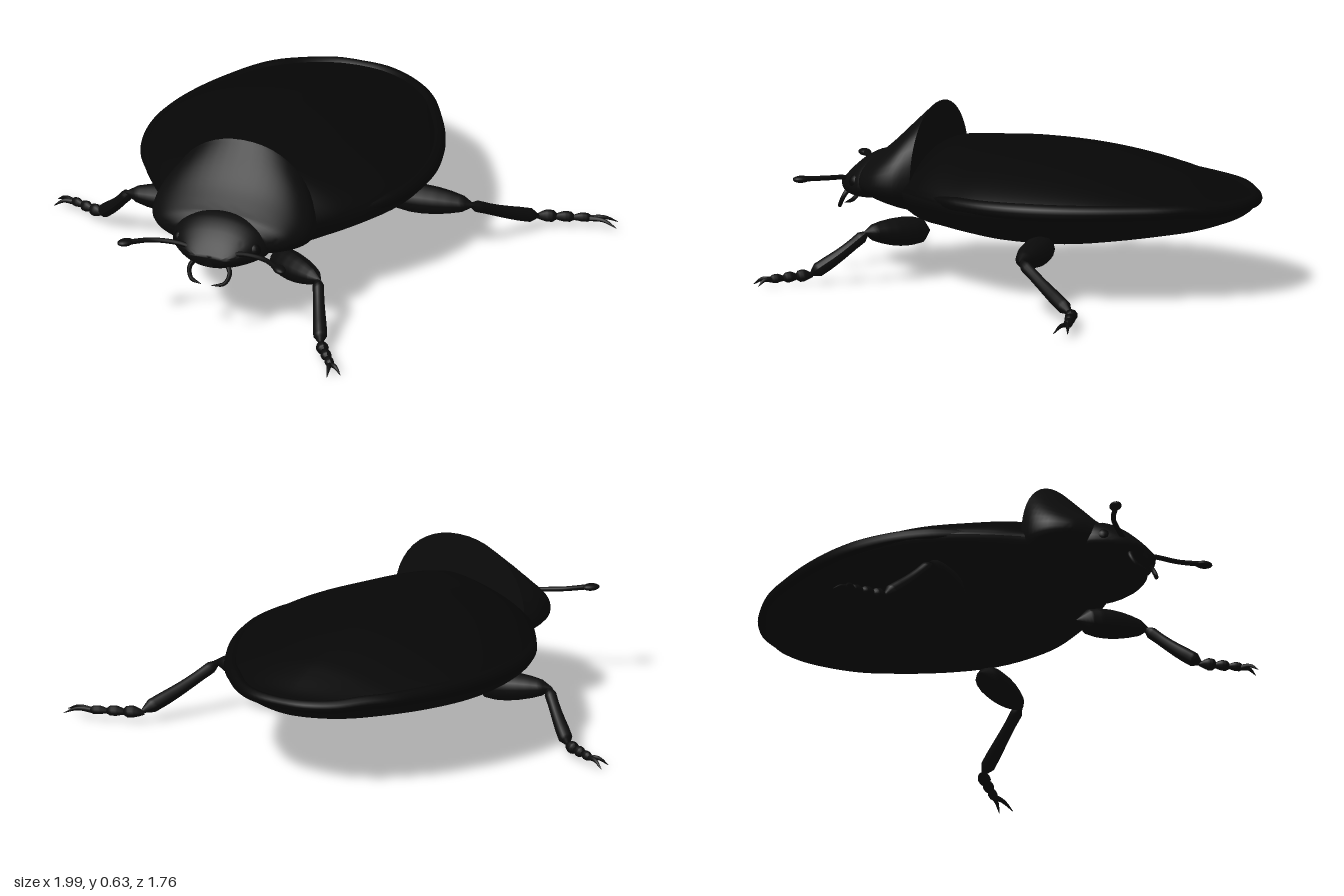
import * as THREE from 'three';
import { toCreasedNormals } from 'three/addons/utils/BufferGeometryUtils.js';

const CX = -0.11; // the body's centre line
const mat = (name, color) => Object.assign(new THREE.MeshStandardMaterial({ color }), { name });

// Skin over cross-sections [z, halfWidth, topY, bottomY], swept from angle t0 to t1
function loft(rings, edgeY, t0, t1, power, n = 48) {
  const pos = [], idx = [];
  rings.forEach(([z, w, top, bot]) => {
    for (let j = 0; j <= n; j++) {
      const t = t0 + (t1 - t0) * j / n, c = Math.cos(t), s = Math.sin(t);
      const h = s > 0 ? top - edgeY : edgeY - bot;
      pos.push(CX + w * Math.sign(c) * Math.abs(c) ** power,
        edgeY + h * Math.sign(s) * Math.abs(s) ** power, z);
    }
  });
  for (let i = 0; i < rings.length - 1; i++) for (let j = 0; j < n; j++) {
    const a = i * (n + 1) + j, c = a + n + 1;
    idx.push(a, a + 1, c, a + 1, c + 1, c);
  }
  const g = new THREE.BufferGeometry();
  g.setAttribute('position', new THREE.Float32BufferAttribute(pos, 3));
  g.setIndex(idx);
  return toCreasedNormals(g, 0.9);
}

// Smoothly resample a short list of sections
function smooth(rings, count) {
  const at = (k, u) => {
    const f = u * (rings.length - 1), i = Math.min(Math.floor(f), rings.length - 2), t = f - i;
    const p = (m) => rings[Math.max(0, Math.min(rings.length - 1, m))][k];
    const a = (p(i + 1) - p(i - 1)) / 2, b = (p(i + 2) - p(i)) / 2, d = p(i) - p(i + 1);
    return p(i) + a * t + (-3 * d - 2 * a - b) * t * t + (2 * d + a + b) * t ** 3;
  };
  return Array.from({ length: count + 1 }, (_, i) => [0, 1, 2, 3].map((k) => at(k, i / count)));
}

const capped = (r, y) => {
  const first = r[0], last = r[r.length - 1];
  return [[first[0], 0, y, y], ...r, [last[0], 0, y, y]];
};

// Tube whose radius follows a list of values along its length
function limb(points, radii, steps = 20, sides = 12) {
  const path = new THREE.CatmullRomCurve3(points.map((p) => new THREE.Vector3(...p)));
  const g = new THREE.TubeGeometry(path, steps, 1, sides, false);
  const p = g.attributes.position, v = new THREE.Vector3();
  for (let i = 0; i <= steps; i++) {
    const u = i / steps, c = path.getPointAt(u), f = u * (radii.length - 1);
    const k = Math.min(Math.floor(f), radii.length - 2);
    const r = THREE.MathUtils.lerp(radii[k], radii[k + 1], f - k);
    for (let j = 0; j <= sides; j++) {
      const m = i * (sides + 1) + j;
      v.fromBufferAttribute(p, m).sub(c).multiplyScalar(r).add(c);
      p.setXYZ(m, v.x, v.y, v.z);
    }
  }
  g.computeVertexNormals();
  return g;
}

export function createModel() {
  const model = new THREE.Group();
  model.name = 'beetle';
  const shell = mat('shell black', 0x060606);
  const body = mat('body black', 0x0b0b0b);
  shell.side = body.side = THREE.DoubleSide;
  const add = (name, geo, material, parent = model) => {
    const m = new THREE.Mesh(geo, material);
    m.name = name;
    parent.add(m);
    return m;
  };

  // Abdomen: wing cases above, belly below
  const abdomen = smooth([
    [-0.87, 0.06, 0.345, 0.325], [-0.85, 0.13, 0.352, 0.305], [-0.8, 0.225, 0.365, 0.278],
    [-0.7, 0.33, 0.408, 0.243], [-0.6, 0.4, 0.444, 0.22], [-0.4, 0.495, 0.495, 0.185],
    [-0.2, 0.543, 0.525, 0.16], [0, 0.53, 0.535, 0.158], [0.15, 0.465, 0.53, 0.17],
    [0.28, 0.378, 0.52, 0.185], [0.38, 0.295, 0.47, 0.2], [0.46, 0.24, 0.42, 0.26],
  ], 48);
  const sealed = capped(abdomen, 0.35);
  add('wingCases', loft(sealed, 0.35, 0, Math.PI, 1.35), shell);
  add('belly', loft(sealed, 0.35, Math.PI, Math.PI * 2, 1.2), body);

  // Rounded rim of the wing cases, turned up a little at the tail
  const side = abdomen.filter((r, i) => i % 3 === 0 && r[0] < 0.36 && r[0] > -0.78);
  const half = (s) => side.map(([z, w]) => [CX + s * (w - 0.026), 0.354, z]);
  const tail = (s) => [[CX + s * 0.2, 0.345, -0.8], [CX + s * 0.1, 0.343, -0.85]];
  const rimPath = [...half(1).reverse(), ...tail(1), [CX, 0.343, -0.861], ...tail(-1).reverse(), ...half(-1)];
  add('wingCaseRim', limb(rimPath, [0.004, 0.028, 0.032, 0.03, 0.026, 0.02, 0.026, 0.03, 0.032, 0.028, 0.004], 120), shell);

  // Raised neck shield
  const shield = smooth([
    [0.36, 0.28, 0.64, 0.24], [0.42, 0.308, 0.58, 0.245], [0.49, 0.305, 0.51, 0.265],
    [0.55, 0.27, 0.46, 0.285], [0.58, 0.232, 0.437, 0.295], [0.6, 0.18, 0.41, 0.31],
  ], 20);
  add('neckShield', loft(capped(shield, 0.36), 0.36, 0, Math.PI * 2, 0.95), body);

  // Head
  const head = smooth([
    [0.5, 0.16, 0.45, 0.285], [0.58, 0.187, 0.448, 0.275], [0.63, 0.168, 0.425, 0.272],
    [0.67, 0.135, 0.392, 0.275], [0.7, 0.1, 0.36, 0.283], [0.72, 0.06, 0.335, 0.295],
  ], 16);
  add('head', loft(capped(head, 0.33), 0.33, 0, Math.PI * 2, 0.95), body);

  // Eyes, clubbed antennae and curved mouthparts, on both sides
  for (const s of [1, -1]) {
    const word = s > 0 ? 'left' : 'right';
    const eye = add(word + 'Eye', new THREE.SphereGeometry(0.03, 16, 12), shell);
    eye.position.set(CX + s * 0.14, 0.345, 0.625);
    add(word + 'Antenna', limb([[CX + s * 0.07, 0.34, 0.68], [CX + s * 0.13, 0.355, 0.69],
      [CX + s * 0.22, 0.365, 0.72], [CX + s * 0.29, 0.37, 0.775]], [0.01, 0.009, 0.009, 0.01], 24), body);
    const club = add(word + 'AntennaClub', new THREE.SphereGeometry(1, 16, 12), body);
    club.scale.set(0.022, 0.013, 0.032);
    club.position.set(CX + s * 0.3, 0.37, 0.78);
    club.rotation.y = s * 0.75;
    add(word + 'Mouthpart', limb([[CX + s * 0.06, 0.305, 0.69], [CX + s * 0.078, 0.275, 0.705],
      [CX + s * 0.065, 0.24, 0.725], [CX + s * 0.02, 0.232, 0.742]],
    [0.01, 0.009, 0.008, 0.007, 0.001], 16, 8), body);
  }

  // Legs: hip, knee, ankle, toe and the two claw tips
  const legs = {
    leftFrontLeg: [[0, 0.18, 0.35], [0.235, 0.2, 0.5], [0.315, 0.04, 0.69], [0.4, 0.03, 0.81],
      [[0.45, 0.012, 0.84], [0.41, 0.012, 0.875]]],
    rightMiddleLeg: [[-0.36, 0.19, 0.07], [-0.64, 0.21, 0.13], [-0.79, 0.045, 0.025], [-0.92, 0.04, -0.035],
      [[-0.995, 0.02, -0.07], [-0.99, 0.02, -0.015]]],
    leftHindLeg: [[0.23, 0.2, -0.21], [0.55, 0.2, -0.24], [0.71, 0.05, -0.51], [0.89, 0.045, -0.57],
      [[0.985, 0.03, -0.608], [0.998, 0.03, -0.557]]],
  };
  const mix = (a, b, t, lift = 0) => a.map((v, i) => v + (b[i] - v) * t + (i === 1 ? lift : 0));
  for (const [name, [hip, knee, ankle, toe, claws]] of Object.entries(legs)) {
    const leg = new THREE.Group();
    leg.name = name;
    model.add(leg);
    add('thigh', limb([hip, mix(hip, knee, 0.5), mix(hip, knee, 1.06)],
      [0.001, 0.045, 0.053, 0.054, 0.05, 0.042, 0.03, 0.001], 28), body, leg);
    add('shin', limb([mix(knee, ankle, -0.05), mix(knee, ankle, 0.5, -0.005), mix(ankle, toe, 0.05)],
      [0.001, 0.022, 0.021, 0.022, 0.024, 0.026, 0.026, 0.001], 28), body, leg);
    // Flared foot segments
    for (let i = 0; i < 3; i++) {
      const t = i / 3, r = 0.023 - i * 0.003;
      add('footSegment', limb([mix(ankle, toe, t - 0.05), mix(ankle, toe, t + 0.2, 0.004),
        mix(ankle, toe, t + 0.4)], [0.006, r * 0.7, r, r * 0.95, 0.005], 12, 10), body, leg);
    }
    // Curved claws
    claws.forEach((tip) => add('claw', limb([mix(ankle, toe, 0.95), mix(toe, tip, 0.5, 0.012), tip],
      [0.011, 0.009, 0.006, 0.001], 10, 8), body, leg));
  }
  return model;
}
